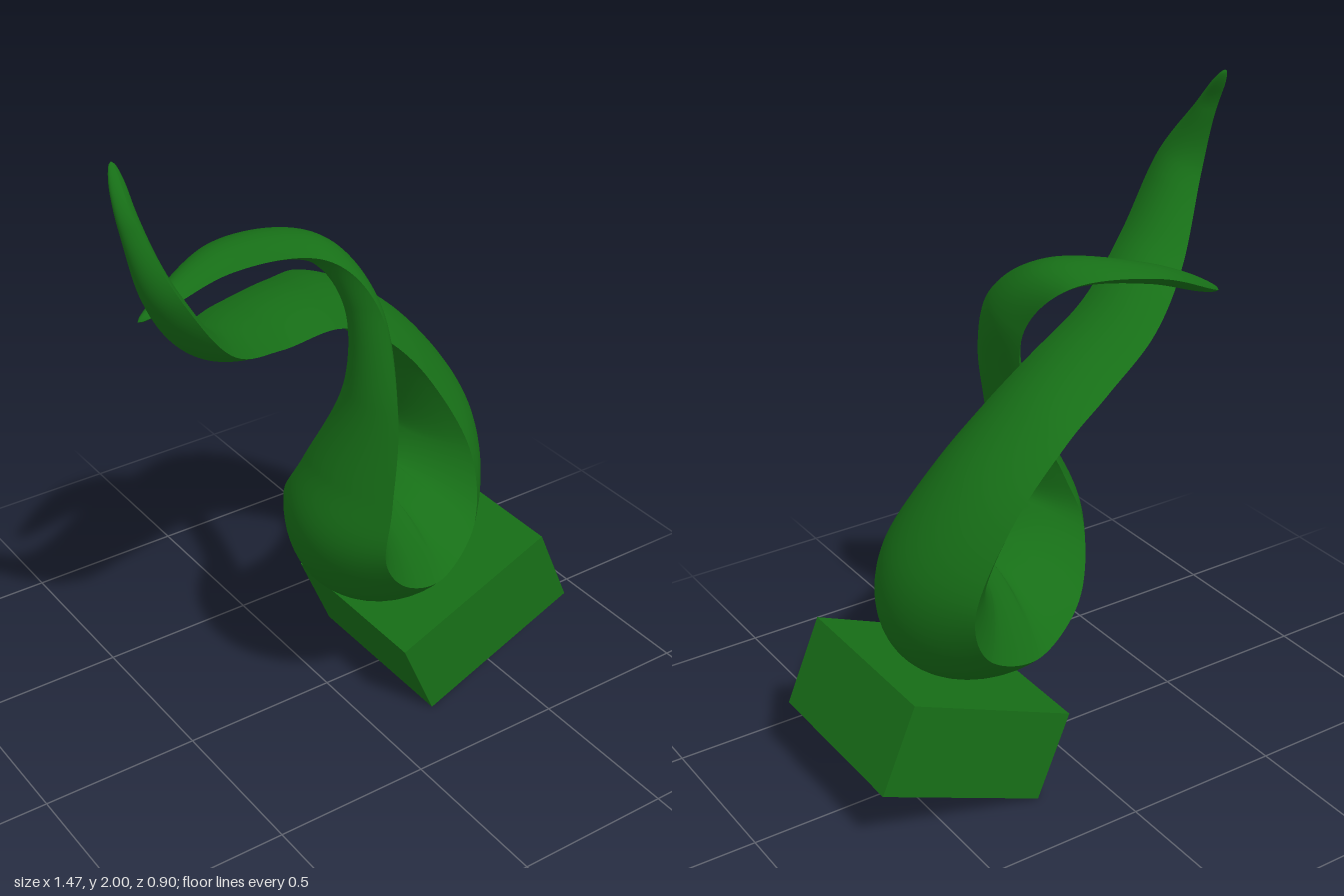
import * as THREE from 'three';

// Stations along the ribbon: front edge xyz, back edge xyz
const STATIONS = [
  [-0.70, 2.00, 0.10, -0.70, 2.00, 0.06],
  [-0.71, 1.87, 0.22, -0.71, 1.86, 0.13],
  [-0.65, 1.69, 0.33, -0.68, 1.66, 0.15],
  [-0.49, 1.48, 0.29, -0.52, 1.45, 0.02],
  [-0.25, 1.36, 0.15, -0.27, 1.36, -0.18],
  [0.02, 1.29, 0.03, 0.00, 1.30, -0.33],
  [0.20, 1.19, 0.00, 0.20, 1.24, -0.42],
  [0.34, 1.03, 0.04, 0.39, 1.07, -0.45],
  [0.43, 0.80, 0.14, 0.50, 0.82, -0.43],
  [0.38, 0.61, 0.24, 0.42, 0.61, -0.37],
  [0.20, 0.53, 0.33, 0.20, 0.50, -0.29],
  [0.02, 0.60, 0.39, 0.00, 0.58, -0.20],
  [-0.10, 0.76, 0.44, -0.10, 0.74, -0.08],
  [-0.09, 0.95, 0.45, -0.08, 0.89, 0.00],
  [-0.04, 1.20, 0.40, 0.01, 1.14, 0.07],
  [0.02, 1.43, 0.23, 0.05, 1.38, 0.01],
  [-0.06, 1.55, 0.08, -0.02, 1.54, -0.13],
  [-0.28, 1.52, -0.05, -0.26, 1.54, -0.21],
  [-0.545, 1.415, -0.09, -0.545, 1.415, -0.15],
];

// Lens-shaped section swept between a front and a back edge curve
function ribbonGeometry(stations, steps, across) {
  const curve = (f) => new THREE.CatmullRomCurve3(stations.map(f), false, 'catmullrom');
  const front = curve((s) => new THREE.Vector3(s[0], s[1], s[2]));
  const back = curve((s) => new THREE.Vector3(s[3], s[4], s[5]));
  const middle = curve((s) => new THREE.Vector3(s[0] + s[3], s[1] + s[4], s[2] + s[5]).multiplyScalar(0.5));
  const positions = [], index = [];
  const row = 2 * (across + 1);
  for (let i = 0; i <= steps; i++) {
    const u = i / steps;
    const mid = middle.getPoint(u);
    const width = front.getPoint(u).sub(back.getPoint(u));
    const normal = new THREE.Vector3().crossVectors(width, middle.getTangent(u)).normalize();
    // Rounded tips, slimmer tails and a swelling at the foot of the loop
    const end = Math.min(u, 1 - u);
    const k = Math.min(1, end / 0.03);
    const round = Math.sqrt(k * (2 - k));
    const swell = Math.exp(-(((u * (stations.length - 1) - 9.7) / 2.6) ** 2));
    const half = (0.04 + 0.135 * swell) * Math.min(1, 0.5 + 4 * end) * round;
    for (const side of [1, -1]) {
      for (let j = 0; j <= across; j++) {
        const s = side * (2 * j / across - 1);
        const p = mid.clone().addScaledVector(width, s / 2 * round).addScaledVector(normal, side * half * (1 - s * s));
        positions.push(p.x, p.y, p.z);
      }
    }
    if (i === steps) continue;
    // Each face has its own edge vertices, so the rims stay sharp
    for (let j = 0; j < row - 1; j++) {
      if (j === across) continue;
      const a = i * row + j, c = a + row;
      index.push(a, a + 1, c, a + 1, c + 1, c);
    }
  }
  const geometry = new THREE.BufferGeometry();
  geometry.setAttribute('position', new THREE.Float32BufferAttribute(positions, 3));
  geometry.setIndex(index);
  geometry.computeVertexNormals();
  return geometry;
}

export function createModel() {
  const group = new THREE.Group();
  group.name = 'twistedRibbonSculpture';
  const material = new THREE.MeshStandardMaterial({ color: 0x176f17 });

  // Looping ribbon with two tapering tails
  const ribbon = new THREE.Mesh(ribbonGeometry(STATIONS, 400, 20), material);
  ribbon.name = 'ribbon';
  group.add(ribbon);

  // Tilted block under the loop
  const base = new THREE.Mesh(new THREE.BoxGeometry(0.57, 0.285, 0.57), material);
  base.name = 'base';
  base.position.set(0.41, 0.245, 0);
  base.rotation.z = THREE.MathUtils.degToRad(23.2);
  group.add(base);

  return group;
}
